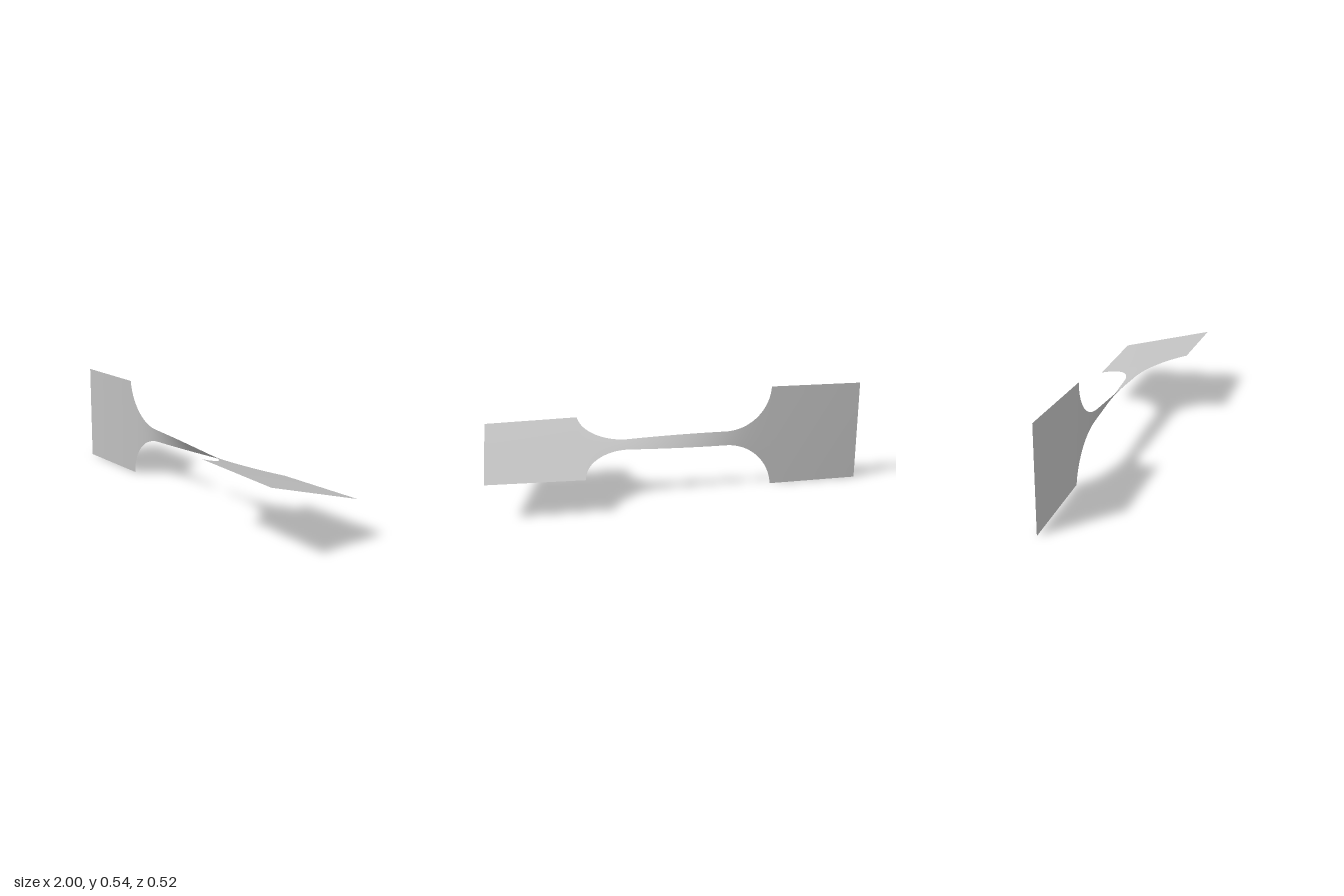
import * as THREE from 'three';

const HALF_GRIP = 0.271;   // half width of the end tabs
const HALF_NECK = 0.037;   // half width of the slim middle
const NECK_END = 0.26;     // where the straight neck meets the fillets
const FILLET = 0.25;       // fillet radius
const CENTRE_Y = 0.271;
const TOTAL_TWIST = THREE.MathUtils.degToRad(74);

// Stations along one half: neck, fillet (evenly by arc angle), tab
function halfStations() {
  const list = [];
  const arcEnd = Math.acos(1 - (HALF_GRIP - HALF_NECK) / FILLET);
  for (let i = 0; i < 30; i++) list.push({ x: NECK_END * i / 30, w: HALF_NECK });
  for (let i = 0; i <= 40; i++) {
    const a = arcEnd * i / 40;
    list.push({ x: NECK_END + FILLET * Math.sin(a), w: HALF_NECK + FILLET * (1 - Math.cos(a)) });
  }
  const start = list[list.length - 1].x;
  for (let i = 1; i <= 20; i++) list.push({ x: start + (1 - start) * i / 20, w: HALF_GRIP });
  return list;
}

// Mirror the stations and add the twist, which concentrates where the strip is narrow
function buildStations() {
  const half = halfStations();
  const all = [...half.slice(1).reverse().map(s => ({ x: -s.x, w: s.w })), ...half];
  const rate = s => Math.pow(s.w, -1.52);
  all[0].angle = 0;
  for (let i = 1; i < all.length; i++) {
    const a = all[i - 1], b = all[i];
    b.angle = a.angle + (b.x - a.x) * (rate(a) + rate(b)) / 2;
  }
  const scale = TOTAL_TWIST / all[all.length - 1].angle;
  all.forEach(s => { s.angle *= scale; });
  return all;
}

export function createModel() {
  const group = new THREE.Group();
  group.name = 'twistedTestStrip';

  const grey = new THREE.MeshStandardMaterial({ color: 0xc0c0c0, side: THREE.DoubleSide });
  grey.name = 'plain grey';

  // Flat sheet, waisted and twisted about the x axis
  const stations = buildStations();
  const across = 12;
  const geometry = new THREE.PlaneGeometry(2, 2, stations.length - 1, across);
  const pos = geometry.attributes.position;
  for (let i = 0; i < pos.count; i++) {
    const s = stations[i % stations.length];
    const r = pos.getY(i) * s.w;
    pos.setXYZ(i, s.x, CENTRE_Y + r * Math.cos(s.angle), r * Math.sin(s.angle));
  }
  geometry.computeVertexNormals();

  const strip = new THREE.Mesh(geometry, grey);
  strip.name = 'twistedStrip';
  group.add(strip);
  return group;
}
